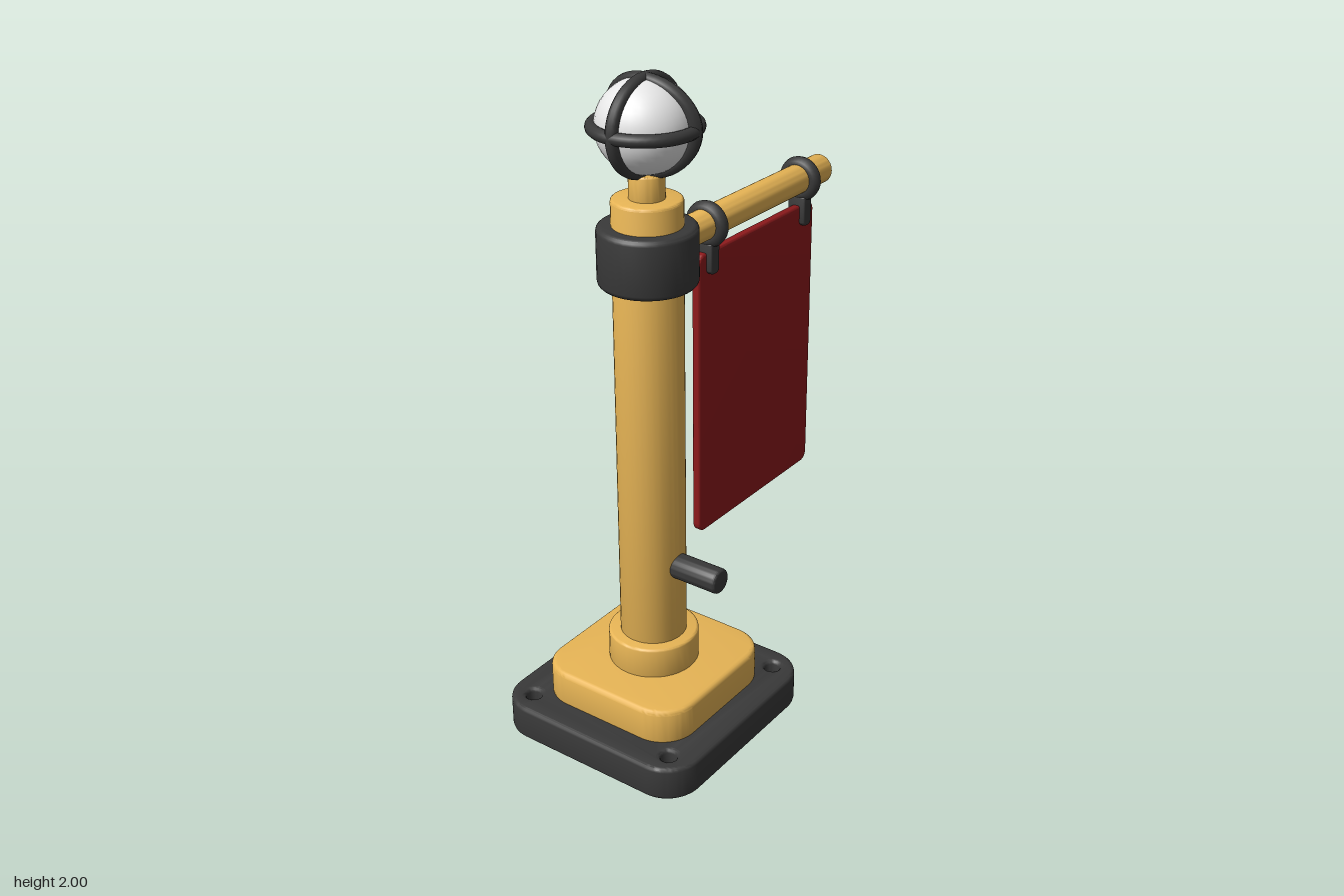
import * as THREE from 'three';
import { toCreasedNormals } from 'three/addons/utils/BufferGeometryUtils.js';

const POLE_X = -0.265;

function material(name, color) {
  const m = new THREE.MeshStandardMaterial({ color });
  m.name = name;
  return m;
}

function roundedShape(w, h, r) {
  const x = w / 2, y = h / 2, s = new THREE.Shape();
  s.absarc(x - r, y - r, r, 0, Math.PI / 2);
  s.absarc(-x + r, y - r, r, Math.PI / 2, Math.PI);
  s.absarc(-x + r, -y + r, r, Math.PI, Math.PI * 1.5);
  s.absarc(x - r, -y + r, r, Math.PI * 1.5, Math.PI * 2);
  s.closePath();
  return s;
}

// Plate with softened edges, extruded along z from 0 to depth
function plate(shape, depth, bevel) {
  const g = new THREE.ExtrudeGeometry(shape, {
    depth: depth - 2 * bevel, bevelThickness: bevel, bevelSize: bevel,
    bevelOffset: -bevel, bevelSegments: 3, curveSegments: 10,
  });
  g.translate(0, 0, bevel);
  return toCreasedNormals(g, 0.6);
}

// Cylinder with rounded rims, standing from y = 0 to height
function softCylinder(radius, height, bevel) {
  const pts = [new THREE.Vector2(0, 0)];
  for (let i = 0; i <= 3; i++) {
    const a = (i / 3) * Math.PI / 2;
    pts.push(new THREE.Vector2(radius - bevel + bevel * Math.sin(a), bevel - bevel * Math.cos(a)));
  }
  for (let i = 0; i <= 3; i++) {
    const a = (i / 3) * Math.PI / 2;
    pts.push(new THREE.Vector2(radius - bevel + bevel * Math.cos(a), height - bevel + bevel * Math.sin(a)));
  }
  pts.push(new THREE.Vector2(0, height));
  return toCreasedNormals(new THREE.LatheGeometry(pts, 36), 0.6);
}

// Upright cage ring running front to back, bowed sideways away from its top
function bowedRing(radius, tube, flatten, bow) {
  const g = new THREE.TorusGeometry(radius, tube, 12, 48).rotateY(Math.PI / 2).scale(1, flatten, 1);
  const p = g.attributes.position;
  for (let i = 0; i < p.count; i++) p.setX(i, p.getX(i) + bow * (p.getZ(i) / radius) ** 2);
  g.computeVertexNormals();
  return g;
}

export function createModel() {
  const model = new THREE.Group();
  model.name = 'bannerLampPost';
  const gold = material('gold', 0xeeba58);
  const dark = material('darkMetal', 0x393939);
  const red = material('redCloth', 0x8e1a1c);
  const glass = material('paleGlass', 0xfafafa);

  const add = (name, geometry, mat, x = 0, y = 0, z = 0, parent = model) => {
    const mesh = new THREE.Mesh(geometry, mat);
    mesh.name = name;
    mesh.position.set(x, y, z);
    parent.add(mesh);
    return mesh;
  };

  // Base plate with a bolt hole in each corner
  const baseShape = roundedShape(0.69, 0.67, 0.11);
  for (const sx of [-1, 1]) for (const sy of [-1, 1]) {
    const hole = new THREE.Path();
    hole.absarc(sx * 0.268, sy * 0.253, 0.024, 0, Math.PI * 2, true);
    baseShape.holes.push(hole);
  }
  add('basePlate', plate(baseShape, 0.107, 0.012).rotateX(-Math.PI / 2), dark, POLE_X);
  add('baseStep', plate(roundedShape(0.505, 0.5, 0.11), 0.115, 0.014).rotateX(-Math.PI / 2), gold, POLE_X, 0.097);

  // Post, its foot and neck
  add('postFoot', softCylinder(0.135, 0.105, 0.008), gold, POLE_X, 0.202);
  add('post', softCylinder(0.099, 1.38, 0.008), gold, POLE_X, 0.28);
  add('lampNeck', softCylinder(0.05, 0.09, 0.005), gold, POLE_X, 1.64);
  add('armCollar', softCylinder(0.14, 0.17, 0.015), dark, POLE_X, 1.415);

  // Lever on the front of the post
  add('lever', softCylinder(0.038, 0.19, 0.008).rotateX(Math.PI / 2), dark, POLE_X, 0.55, 0.056);

  // Lamp globe inside three crossing cage rings
  const lamp = new THREE.Group();
  lamp.name = 'lamp';
  lamp.position.set(POLE_X - 0.002, 1.858, 0);
  model.add(lamp);
  add('globe', new THREE.SphereGeometry(0.136, 36, 24), glass, 0, 0, 0, lamp).scale.y = 0.95;
  const cage = new THREE.TorusGeometry(0.141, 0.018, 12, 48);
  add('cageEquator', cage, dark, 0, 0, 0, lamp).rotation.x = Math.PI / 2;
  add('cageRingSide', cage, dark, 0, 0, 0, lamp).scale.y = 0.9;
  add('cageRingFront', bowedRing(0.14, 0.018, 0.9, 0.026), dark, 0, 0, 0, lamp);

  // Horizontal arm
  add('arm', softCylinder(0.045, 0.775, 0.006).rotateZ(-Math.PI / 2), gold, -0.167, 1.506);

  // Rings over the arm with clips gripping the banner
  for (const x of [0.01, 0.496]) {
    const hanger = new THREE.Group();
    hanger.name = 'bannerHanger';
    hanger.position.set(x, 1.506, 0);
    model.add(hanger);
    add('hangerRing', new THREE.TorusGeometry(0.047, 0.022, 12, 32).rotateY(Math.PI / 2), dark, 0, -0.003, 0, hanger);
    const clip = plate(roundedShape(0.042, 0.1, 0.016), 0.06, 0.006).translate(0, 0, -0.03);
    add('hangerClip', clip, dark, 0, -0.098, 0, hanger);
  }

  // Hanging banner, with a small gold patch and a thin dark streak on its back
  add('banner', plate(roundedShape(0.6, 0.9, 0.03), 0.026, 0.006), red, 0.253, 0.973, -0.013);
  const patch = new THREE.CircleGeometry(0.042, 16, 0, Math.PI).scale(1, 0.9, 1).rotateY(Math.PI);
  add('bannerPatch', patch, gold, 0.215, 0.735, -0.0145).rotation.z = 0.3;
  add('bannerStreak', new THREE.PlaneGeometry(0.018, 0.27).rotateY(Math.PI), dark, 0.385, 0.93, -0.0145);

  return model;
}
